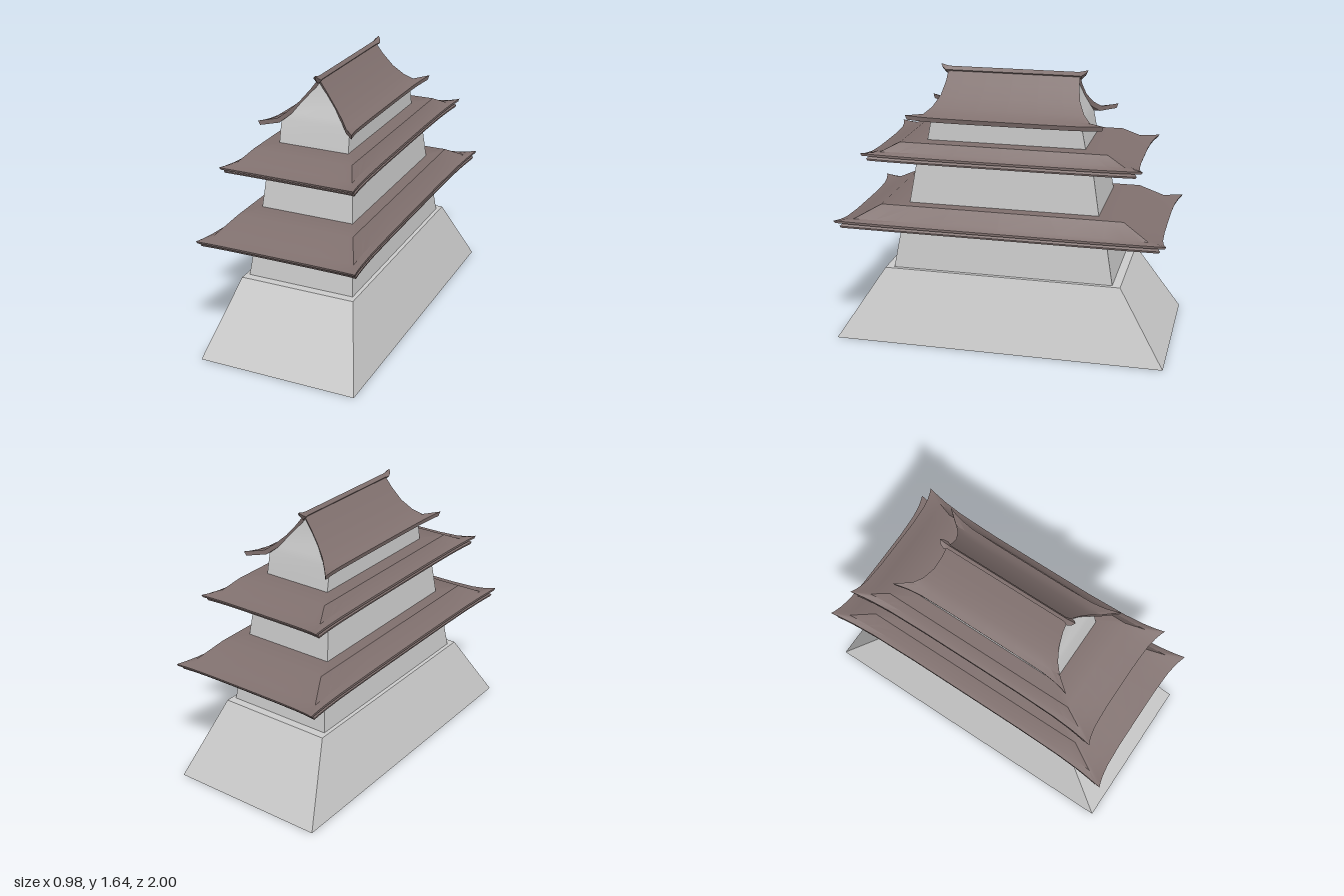
import * as THREE from 'three';
import { toCreasedNormals } from 'three/addons/utils/BufferGeometryUtils.js';

const stone = new THREE.MeshStandardMaterial({ color: 0xcccccc, side: THREE.DoubleSide });
const tile = new THREE.MeshStandardMaterial({ color: 0x80706e, side: THREE.DoubleSide });

// Skin a list of closed rings (each ring runs counter-clockwise about the loft direction)
function loft(name, rings, material, crease = 0.6) {
  const n = rings[0].length;
  const index = [];
  for (let r = 0; r < rings.length - 1; r++) {
    for (let i = 0; i < n; i++) {
      const a = r * n + i, b = r * n + (i + 1) % n;
      index.push(a, b, b + n, a, b + n, a + n);
    }
  }
  const geometry = new THREE.BufferGeometry();
  geometry.setAttribute('position', new THREE.Float32BufferAttribute(rings.flat(2), 3));
  geometry.setIndex(index);
  const mesh = new THREE.Mesh(toCreasedNormals(geometry, crease), material);
  mesh.name = name;
  return mesh;
}

// Plain rectangular ring: half width, half depth, height
const rect = ([hx, hz, y]) => [[hx, y, hz], [hx, y, -hz], [-hx, y, -hz], [-hx, y, hz]];

// Rectangular ring whose corners sweep outwards and upwards
const STEPS = [-1, -0.94, -0.85, -0.7, -0.4, 0, 0.4, 0.7, 0.85, 0.94];
function eaveRing([hx, hz, y, out = 0, lift = 0]) {
  const ring = [];
  for (let side = 0; side < 4; side++) {
    const sign = side < 2 ? 1 : -1;
    for (const t of STEPS) {
      const f = Math.abs(t) ** 5;
      const h = y + lift * f;
      if (side % 2 === 0) ring.push([sign * (hx + out * f), h, -sign * t * (hz + out)]);
      else ring.push([-sign * t * (hx + out), h, -sign * (hz + out * f)]);
    }
  }
  return ring;
}

// Hipped skirt roof with two stacked eaves, listed from the underside to the top
function skirtRoof(name, { ex, ez, sx, sz, wx, wz, y, top }) {
  const rings = [
    [wx, wz, y + 0.03],
    [ex - 0.005, ez - 0.035, y, 0.033, 0.014],
    [ex - 0.003, ez - 0.03, y + 0.01, 0.035, 0.016],
    [ex - 0.015, ez - 0.04, y + 0.024, 0.03, 0.016],
    [ex, ez - 0.005, y + 0.026, 0.036, 0.018],
    [ex, ez, y + 0.04, 0.04, 0.019],
    [ex - 0.028, ez - 0.08, y + 0.06, 0.014, 0],
    [sx, sz, top],
    [wx, wz, top],
  ].map(eaveRing);
  return loft(name, rings, tile);
}

// Gabled roof: one shell section swept along z, its ends flaring towards the eaves
function gableRoof() {
  // x, y, half length
  const half = [
    [0.25, 1.362, 0.55], [0.215, 1.377, 0.5], [0.17, 1.413, 0.457],
    [0.11, 1.472, 0.422], [0.05, 1.545, 0.405],
  ];
  const outer = [...half, [0, 1.612, 0.4], ...half.map(([x, y, z]) => [-x, y, z]).reverse()];
  const inner = outer.map(([x, y, z]) => [x * 0.97, y - 0.028, z - 0.01]);
  const place = (s) => ([x, y, z]) => {
    const f = Math.abs(x) > 0.24 ? Math.abs(s) ** 8 : 0;
    return [x + Math.sign(x) * 0.04 * f, y + 0.02 * f, s * (z + 0.04 * f)];
  };
  const section = (s) => [...outer.map(place(s)), ...inner.map(place(s)).reverse()];
  // End sections folded onto the middle of the shell close the gable edges
  const cap = (s) => {
    const mid = outer.map((p, i) => p.map((v, k) => (v + inner[i][k]) / 2)).map(place(s));
    return [...mid, ...[...mid].reverse()];
  };
  const spans = [-1, -0.95, -0.88, -0.75, -0.4, 0, 0.4, 0.75, 0.88, 0.95, 1];
  return loft('gableRoof', [cap(-1), ...spans.map(section), cap(1)], tile);
}

// Ridge beam with upturned pointed ends
function ridge() {
  // z, centre height, half width, half height
  const end = [
    [0.448, 1.64, 0, 0], [0.435, 1.624, 0.016, 0.014],
    [0.41, 1.608, 0.025, 0.023], [0.385, 1.607, 0.014, 0.021],
  ];
  const stations = [...end.map(([z, ...r]) => [-z, ...r]), ...[...end].reverse()];
  const rings = stations.map(([z, y, w, h]) => [[w, y, z], [0, y + h, z], [-w, y, z], [0, y - h, z]]);
  return loft('ridge', rings, tile);
}

export function createModel() {
  const model = new THREE.Group();
  model.name = 'castleTower';

  // Sloped stone base, hollow below, with a ledge around the tower foot
  model.add(loft('stoneBase', [
    [0.49, 1, 0], [0.357, 0.72, 0.437], [0.33, 0.67, 0.437],
  ].map(rect), stone));

  // Tapering storeys
  model.add(loft('lowerStorey', [[0.333, 0.67, 0.437], [0.295, 0.605, 0.8]].map(rect), stone));
  model.add(loft('middleStorey', [[0.288, 0.575, 0.84], [0.26, 0.52, 1.17]].map(rect), stone));

  // Top storey narrows under the roof into the two gables
  model.add(loft('topStorey', [
    [0.217, 0.478, 1.215], [0.214, 0.45, 1.36], [0.165, 0.438, 1.4],
    [0.105, 0.415, 1.46], [0.05, 0.397, 1.53], [0, 0.385, 1.59],
  ].map(rect), stone));

  // Roofs
  model.add(skirtRoof('lowerRoof', {
    ex: 0.45, ez: 0.95, sx: 0.36, sz: 0.73, wx: 0.285, wz: 0.57, y: 0.703, top: 0.845,
  }));
  model.add(skirtRoof('middleRoof', {
    ex: 0.37, ez: 0.795, sx: 0.305, sz: 0.62, wx: 0.21, wz: 0.47, y: 1.108, top: 1.222,
  }));
  model.add(gableRoof(), ridge());
  return model;
}
